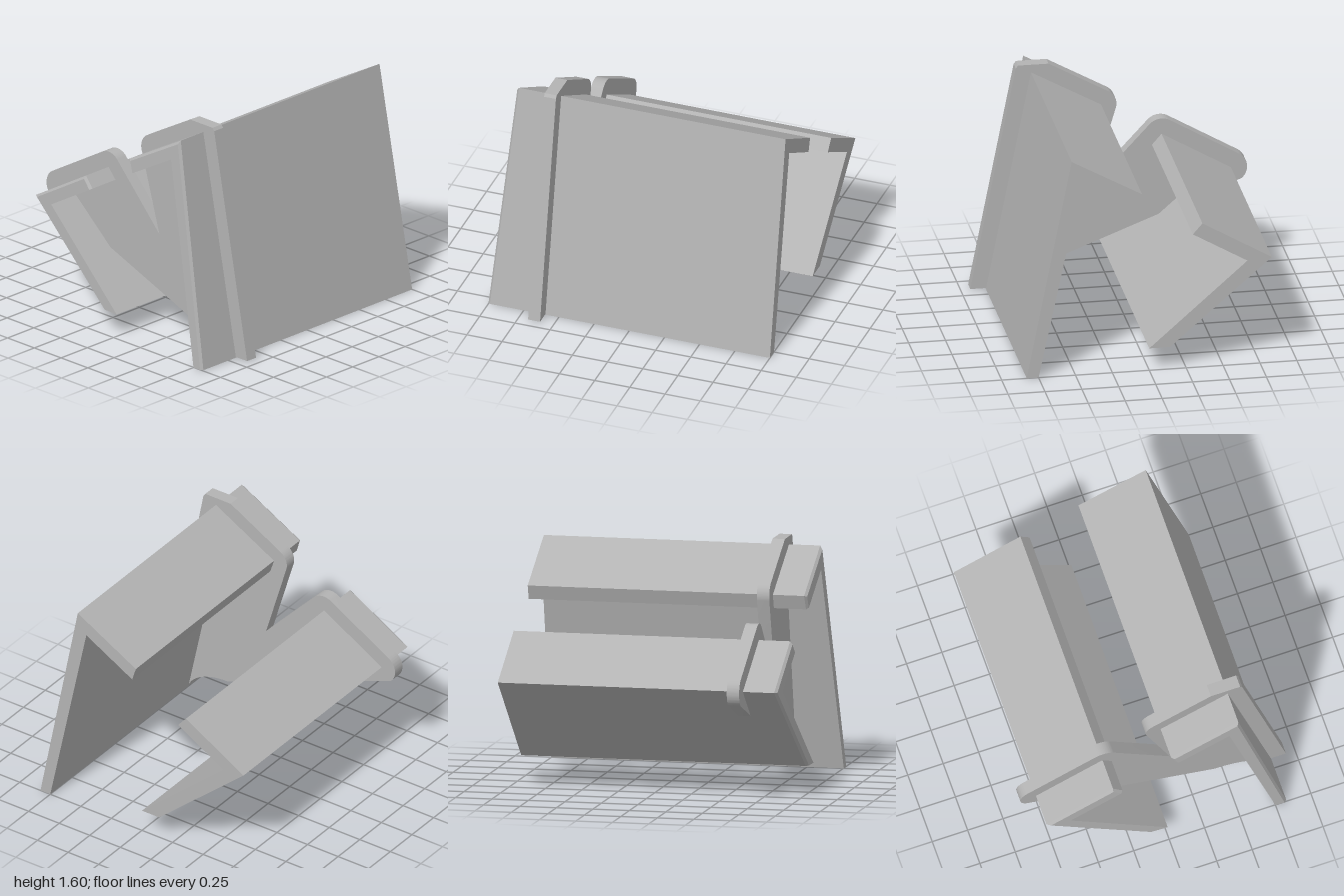
import * as THREE from 'three';
import { toCreasedNormals } from 'three/addons/utils/BufferGeometryUtils.js';

const BACK = -1, FRONT = 0.91, RAKE = 0.064, CHAMFER = 0.016;

// Move chosen edges of a counter-clockwise polygon inwards by d.
function insetEdges(points, flags, d) {
  const n = points.length;
  const lines = points.map((p, i) => {
    const dir = points[(i + 1) % n].clone().sub(p).normalize();
    const off = flags[i] ? d : 0;
    return { p: p.clone().add(new THREE.Vector2(-dir.y, dir.x).multiplyScalar(off)), dir };
  });
  return lines.map((b, i) => {
    const a = lines[(i + n - 1) % n];
    const t = b.p.clone().sub(a.p).cross(b.dir) / a.dir.cross(b.dir);
    return a.p.clone().addScaledVector(a.dir, t);
  });
}

// Bent profile swept along z, with a raked front and chamfered outer front edges.
// The rake grows with distance below the upper flange, which runs from a to b.
function bentProfile(coords, flags, a, b) {
  const outline = coords.map(([x, y]) => new THREE.Vector2(x, y));
  const inner = insetEdges(outline, flags, CHAMFER);
  const dir = outline[b].clone().sub(outline[a]).normalize();
  const down = new THREE.Vector2(dir.y, -dir.x);
  const front = p => FRONT + RAKE * p.clone().sub(outline[a]).dot(down);
  const rings = [
    outline.map(p => [p.x, p.y, BACK]),
    outline.map(p => [p.x, p.y, front(p) - CHAMFER]),
    inner.map(p => [p.x, p.y, front(p)]),
  ];
  const pos = [];
  const tri = (...corners) => corners.forEach(c => pos.push(...c));
  const n = outline.length;
  for (let r = 0; r < 2; r++) {
    for (let i = 0; i < n; i++) {
      const j = (i + 1) % n, lo = rings[r], hi = rings[r + 1];
      tri(lo[i], lo[j], hi[j]);
      tri(lo[i], hi[j], hi[i]);
    }
  }
  for (const [i, j, k] of THREE.ShapeUtils.triangulateShape(outline, [])) {
    tri(rings[2][i], rings[2][j], rings[2][k]);
    tri(rings[0][k], rings[0][j], rings[0][i]);
  }
  const geometry = new THREE.BufferGeometry();
  geometry.setAttribute('position', new THREE.Float32BufferAttribute(pos, 3));
  geometry.computeVertexNormals();
  return geometry;
}

// Flange plate with rounded lobes around the ends of both profiles.
function flangePlate() {
  const rad = THREE.MathUtils.degToRad;
  const s = new THREE.Shape();
  s.moveTo(-0.305, 0.165);
  s.absarc(-0.83, 0.765, 0.11, rad(229), rad(120), true);
  s.absarc(-0.36, 1.04, 0.11, rad(120), rad(43), true);
  s.lineTo(0.115, 0.69);
  s.absarc(0.05, 1.28, 0.105, rad(196), rad(119), true);
  s.lineTo(0.405, 1.6);
  s.lineTo(0.612, 1.6);
  s.lineTo(0.627, 1.58);
  s.lineTo(0.935, 0.01);
  s.lineTo(0.75, 0.01);
  s.bezierCurveTo(0.72, 0.1, 0.59, 0.165, 0.43, 0.165);
  s.closePath();
  const g = new THREE.ExtrudeGeometry(s, { depth: 0.085, bevelEnabled: false, curveSegments: 14 });
  g.translate(0, 0, 0.595);
  return toCreasedNormals(g, 0.4);
}

export function createModel() {
  const model = new THREE.Group();
  model.name = 'flangedProfile';
  const grey = new THREE.MeshStandardMaterial({ color: 0xb3b3b3 });
  grey.name = 'grey';
  const add = (name, geometry) => {
    const mesh = new THREE.Mesh(geometry, grey);
    mesh.name = name;
    model.add(mesh);
  };

  // Tall profile: steep wall with a flange folded over at the top
  add('tallProfile', bentProfile(
    [[0.83, 0.005], [0.525, 1.545], [0.05, 1.28], [0.08, 1.185], [0.455, 1.395], [0.75, 0.005]],
    [1, 1, 1, 0, 0, 0], 2, 1));

  // Short profile: sloping wall with a flange folded back at the top
  add('shortProfile', bentProfile(
    [[0, 0.163], [-0.665, 0.75], [-0.295, 0.965], [-0.36, 1.04], [-0.83, 0.765], [-0.14, 0.163]],
    [0, 0, 1, 1, 1, 0], 4, 3));

  add('flangePlate', flangePlate());
  return model;
}
